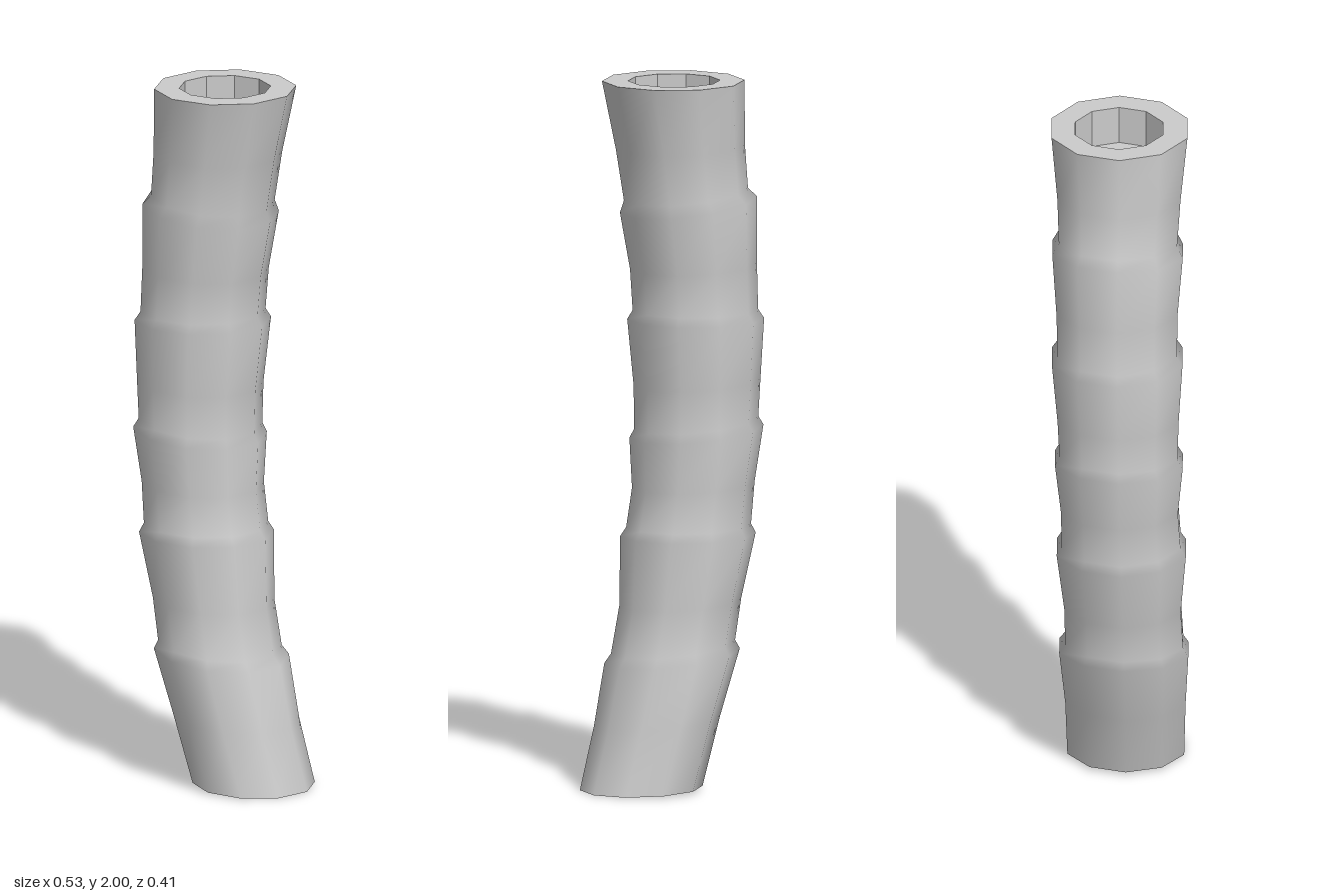
import * as THREE from 'three';

const SIDES = 10;
const TURN = 0.05; // small twist of the ten-sided section

// Cross-sections from the ground up: height, centre x, centre z, radius, tilt along x
const RINGS = [
  [0.005, 0.095, -0.015, 0.172, -0.03],
  [0.19, 0.04, -0.001, 0.177, -0.08],
  [0.37, -0.01, 0.008, 0.19, -0.11],
  [0.395, -0.014, 0.01, 0.174, -0.11],
  [0.52, -0.037, 0.012, 0.171, -0.06],
  [0.71, -0.062, 0.015, 0.19, -0.02],
  [0.735, -0.064, 0.015, 0.175, -0.02],
  [0.85, -0.078, 0.014, 0.172, -0.05],
  [1.0, -0.088, 0.015, 0.188, -0.1],
  [1.025, -0.087, 0.014, 0.174, -0.1],
  [1.14, -0.089, 0.013, 0.178, -0.05],
  [1.32, -0.083, 0.009, 0.192, 0],
  [1.345, -0.082, 0.009, 0.176, 0],
  [1.47, -0.075, 0.006, 0.178, -0.05],
  [1.645, -0.058, 0.003, 0.192, -0.12],
  [1.675, -0.05, 0.002, 0.174, -0.1],
  [1.81, -0.032, 0, 0.181, -0.03],
  [2, -0.008, -0.005, 0.2, 0],
];

// Points of one ten-sided ring
function ringPoints([y, cx, cz, r, tilt]) {
  return Array.from({ length: SIDES }, (_, i) => {
    const a = TURN + (i / SIDES) * Math.PI * 2;
    const dx = Math.sin(a) * r;
    return [cx + dx, y + dx * tilt, cz - Math.cos(a) * r];
  });
}

// Surface through successive rings, closed around
function loft(rings, flat = false) {
  const pos = rings.flatMap((r) => ringPoints(r).flat());
  const index = [];
  for (let j = 0; j < rings.length - 1; j++) {
    for (let i = 0; i < SIDES; i++) {
      const n = (i + 1) % SIDES;
      const a = j * SIDES + i, b = j * SIDES + n;
      const c = a + SIDES, d = b + SIDES;
      index.push(a, c, b, b, c, d);
    }
  }
  let geo = new THREE.BufferGeometry();
  geo.setAttribute('position', new THREE.Float32BufferAttribute(pos, 3));
  geo.setIndex(index);
  if (flat) geo = geo.toNonIndexed();
  geo.computeVertexNormals();
  return geo;
}

// Flat ten-sided cap
function cap(ring, up) {
  const pos = ringPoints(ring).flat();
  const index = [];
  for (let i = 1; i < SIDES - 1; i++) index.push(0, ...(up ? [i + 1, i] : [i, i + 1]));
  const geo = new THREE.BufferGeometry();
  geo.setAttribute('position', new THREE.Float32BufferAttribute(pos, 3));
  geo.setIndex(index);
  geo.computeVertexNormals();
  return geo;
}

export function createModel() {
  const group = new THREE.Group();
  group.name = 'hollowTrunk';
  const material = new THREE.MeshStandardMaterial({ color: 0xcccccc });
  const add = (name, geo) => {
    const mesh = new THREE.Mesh(geo, material);
    mesh.name = name;
    group.add(mesh);
  };

  const top = RINGS[RINGS.length - 1];
  const holeTop = [2, -0.01, -0.006, 0.129, 0];
  const holeFloor = [1.89, -0.01, -0.006, 0.129, 0];

  // Bent stem with a raised lip at each joint
  add('stem', loft(RINGS));
  add('base', cap(RINGS[0], false));

  // Flat rim and shallow recess at the top
  add('rim', loft([top, holeTop], true));
  add('recessWall', loft([holeTop, holeFloor], true));
  add('recessFloor', cap(holeFloor, true));

  return group;
}
